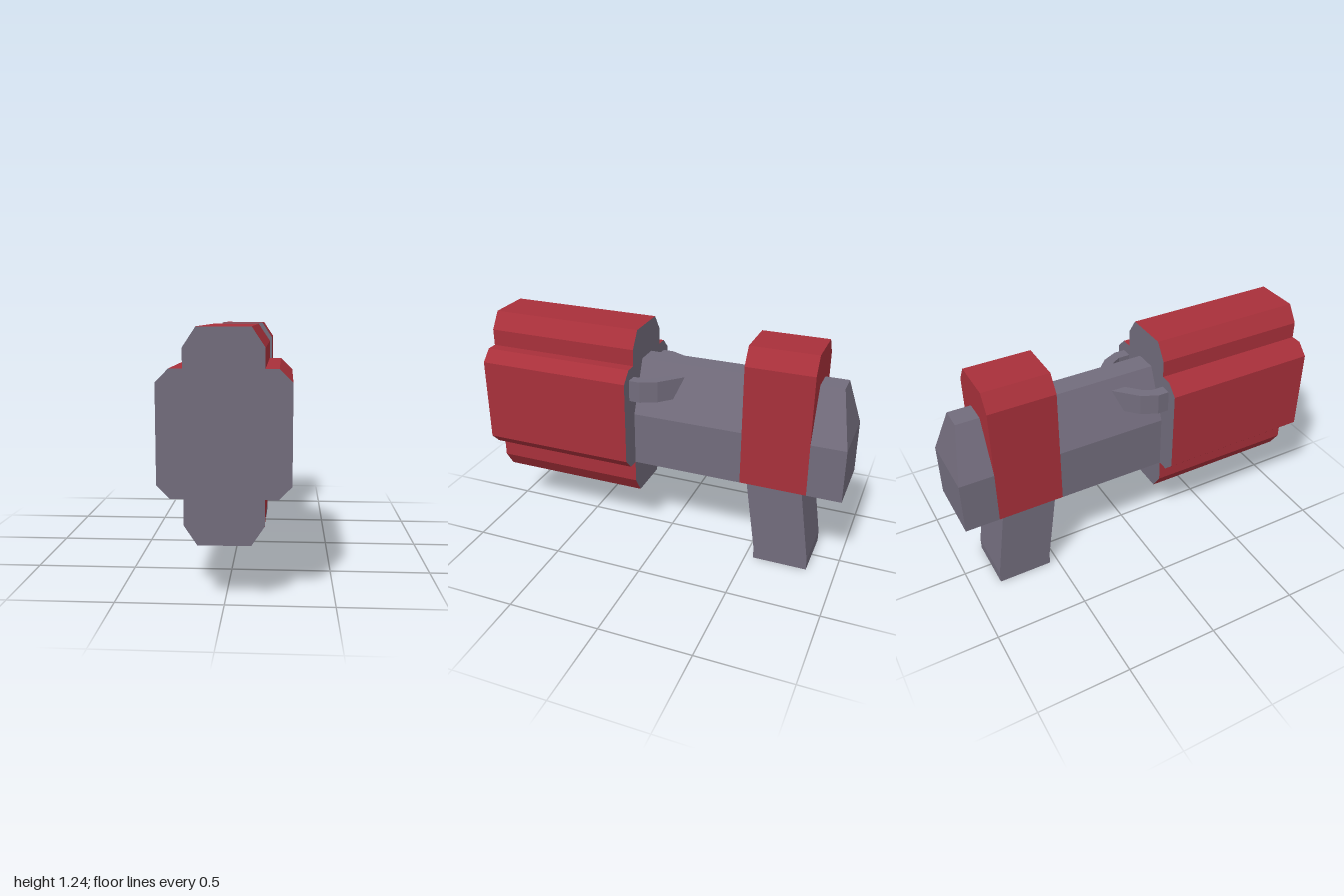
import * as THREE from 'three';

const red = new THREE.MeshStandardMaterial({ color: 0xa8303a });
red.name = 'red';
const grey = new THREE.MeshStandardMaterial({ color: 0x726c7c });
grey.name = 'grey';

// Closed shape from [x, y] points
const shapeOf = (pts) => new THREE.Shape(pts.map(([x, y]) => new THREE.Vector2(x, y)));

// Full symmetric outline from its right half, listed top to bottom
const mirrored = (half) => shapeOf([...half, ...half.map(([x, y]) => [-x, y]).reverse()]);

// Prism running along z between two depths
function prism(shape, zBack, zFront) {
  const geo = new THREE.ExtrudeGeometry(shape, { depth: zFront - zBack, bevelEnabled: false });
  return geo.translate(0, 0, zBack);
}

// Stacked rectangles [y, halfWidth, zFront, zBack], bottom to top, with flat faces
function stack(sections) {
  const pos = [];
  const index = [];
  sections.forEach(([y, w, zf, zb], i) => {
    pos.push(w, y, zf, w, y, zb, -w, y, zb, -w, y, zf);
    if (i === 0) return;
    for (let k = 0; k < 4; k++) {
      const a = (i - 1) * 4 + k, b = (i - 1) * 4 + (k + 1) % 4;
      index.push(a, b, b + 4, a, b + 4, a + 4);
    }
  });
  const t = (sections.length - 1) * 4;
  index.push(0, 2, 1, 0, 3, 2, t, t + 1, t + 2, t, t + 2, t + 3);
  const indexed = new THREE.BufferGeometry();
  indexed.setAttribute('position', new THREE.Float32BufferAttribute(pos, 3));
  indexed.setIndex(index);
  const geo = indexed.toNonIndexed();
  geo.computeVertexNormals();
  return geo;
}

export function createModel() {
  const model = new THREE.Group();
  model.name = 'blaster';
  const add = (name, geometry, material) => {
    const mesh = new THREE.Mesh(geometry, material);
    mesh.name = name;
    model.add(mesh);
  };

  // Large front housing: red sides, grey ends
  const housing = mirrored([
    [0.12, 1.24], [0.18, 1.15], [0.18, 1.06], [0.24, 1.06], [0.30, 1.00],
    [0.30, 0.545], [0.24, 0.485], [0.18, 0.485], [0.18, 0.365], [0.12, 0.275],
  ]);
  add('frontHousing', prism(housing, 0.15, 1), [grey, red]);

  // Rear band: red with a grey front face
  const band = prism(mirrored([[0.12, 1.24], [0.18, 1.15], [0.18, 0.485]]), -0.815, -0.455);
  const cap = band.groups[0].count / 2;
  const total = band.attributes.position.count;
  band.clearGroups();
  band.addGroup(0, cap, 1);
  band.addGroup(cap, cap, 0);
  band.addGroup(cap * 2, total - cap * 2, 1);
  add('rearBand', band, [grey, red]);

  // Body in front of the band, and the sloped tail behind it
  add('body', stack([
    [0.485, 0.18, 0.15, -0.455], [0.78, 0.18, 0.15, -0.455], [1.06, 0.06, 0.15, -0.455],
  ]), grey);
  add('tail', stack([
    [0.485, 0.18, -0.815, -1], [0.78, 0.18, -0.815, -1], [1.06, 0.06, -0.815, -0.94],
  ]), grey);

  // Raked grip
  add('grip', stack([
    [0, 0.15, -0.545, -0.845], [0.065, 0.15, -0.545, -0.845], [0.485, 0.15, -0.485, -0.785],
  ]), grey);

  // Bent side brackets from body to housing, outlined in plan as [x, z]
  const bracket = [
    [0.24, 0.15], [0.24, 0.09], [0.20, 0.005], [0.06, -0.128],
    [0.06, -0.05], [0.155, 0.04], [0.18, 0.085], [0.18, 0.15],
  ];
  for (const [name, side] of [['leftBracket', 1], ['rightBracket', -1]]) {
    const geo = prism(shapeOf(bracket.map(([x, z]) => [side * x, -z])), 0.885, 1.0);
    add(name, geo.rotateX(-Math.PI / 2), grey);
  }

  return model;
}
